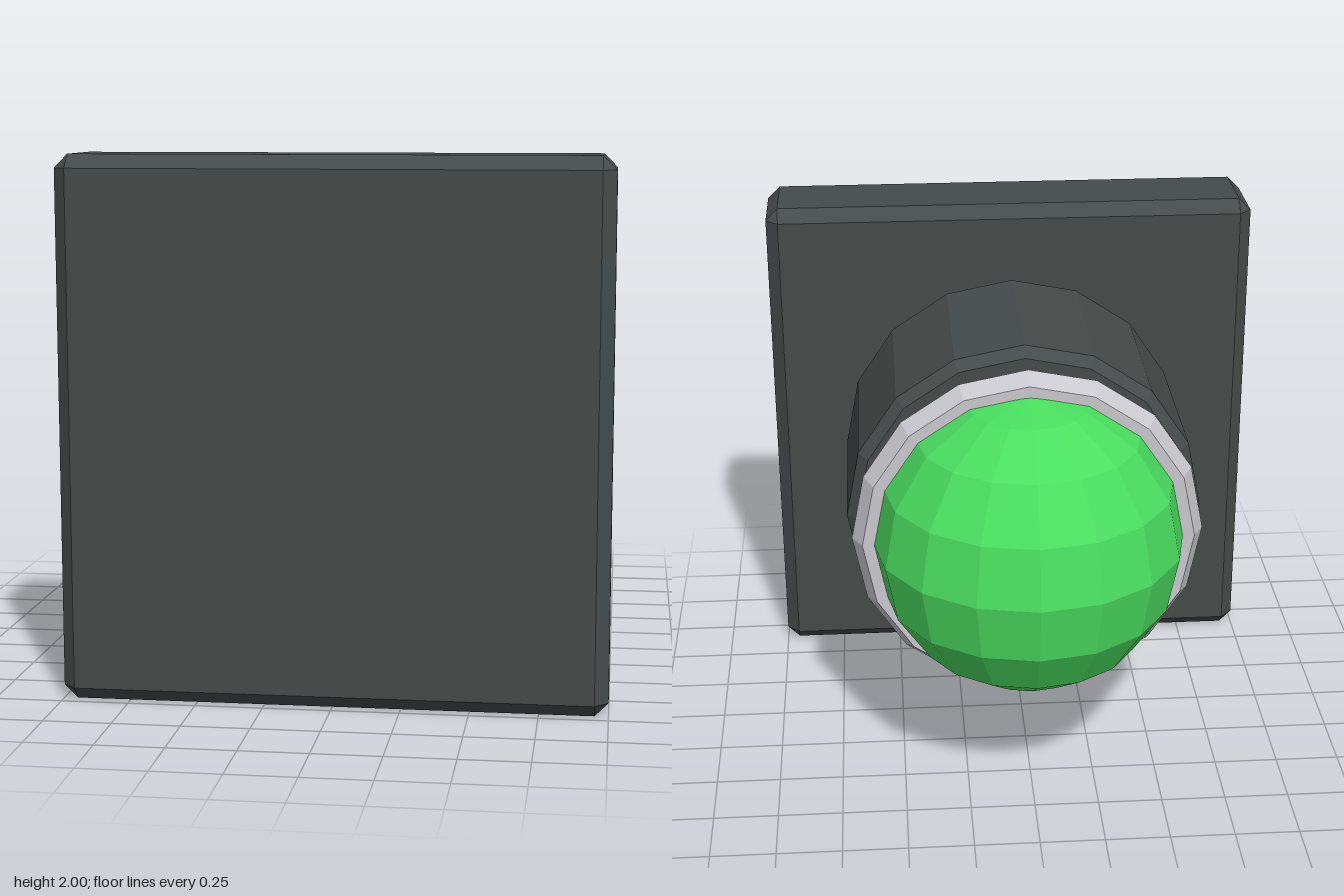
import * as THREE from 'three';
import { ConvexGeometry } from 'three/addons/geometries/ConvexGeometry.js';

// Box with a flat chamfer on all twelve edges
function chamferedBox(w, h, d, c) {
  const half = [w / 2, h / 2, d / 2];
  const points = [];
  for (const sx of [-1, 1]) for (const sy of [-1, 1]) for (const sz of [-1, 1]) {
    const sign = [sx, sy, sz];
    for (let outer = 0; outer < 3; outer++) {
      points.push(new THREE.Vector3(...half.map((v, i) => sign[i] * (i === outer ? v : v - c))));
    }
  }
  return new ConvexGeometry(points);
}

export function createModel() {
  const model = new THREE.Group();
  model.name = 'domeButton';

  const material = (name, color) => {
    const m = new THREE.MeshStandardMaterial({ color, flatShading: true });
    m.name = name;
    return m;
  };
  const charcoal = material('charcoal', 0x454b4a);
  const green = material('green', 0x4ade60);
  const silver = material('silver', 0xc8c8ce);

  const add = (name, geometry, mat, z) => {
    const mesh = new THREE.Mesh(geometry, mat);
    mesh.name = name;
    mesh.position.set(0, 1, z);
    model.add(mesh);
    return mesh;
  };

  // Square mounting plate
  add('mountingPlate', chamferedBox(2, 2, 0.4, 0.05), charcoal, 0.8);

  // Sixteen-sided collar with chamfered rims, turned to lie along z
  const profile = [[0, -0.4], [0.66, -0.4], [0.7, -0.36], [0.7, 0.36], [0.66, 0.4], [0, 0.4]]
    .map(([r, y]) => new THREE.Vector2(r, y));
  const collar = new THREE.LatheGeometry(profile, 16);
  collar.rotateX(Math.PI / 2);
  add('collar', collar, charcoal, 0.2);

  // Faceted ball set into the collar
  add('dome', new THREE.SphereGeometry(0.6, 16, 8), green, -0.4);

  // Six-sided ring around the ball
  add('trimRing', new THREE.TorusGeometry(0.6, 0.08, 6, 16), silver, -0.36);

  return model;
}
